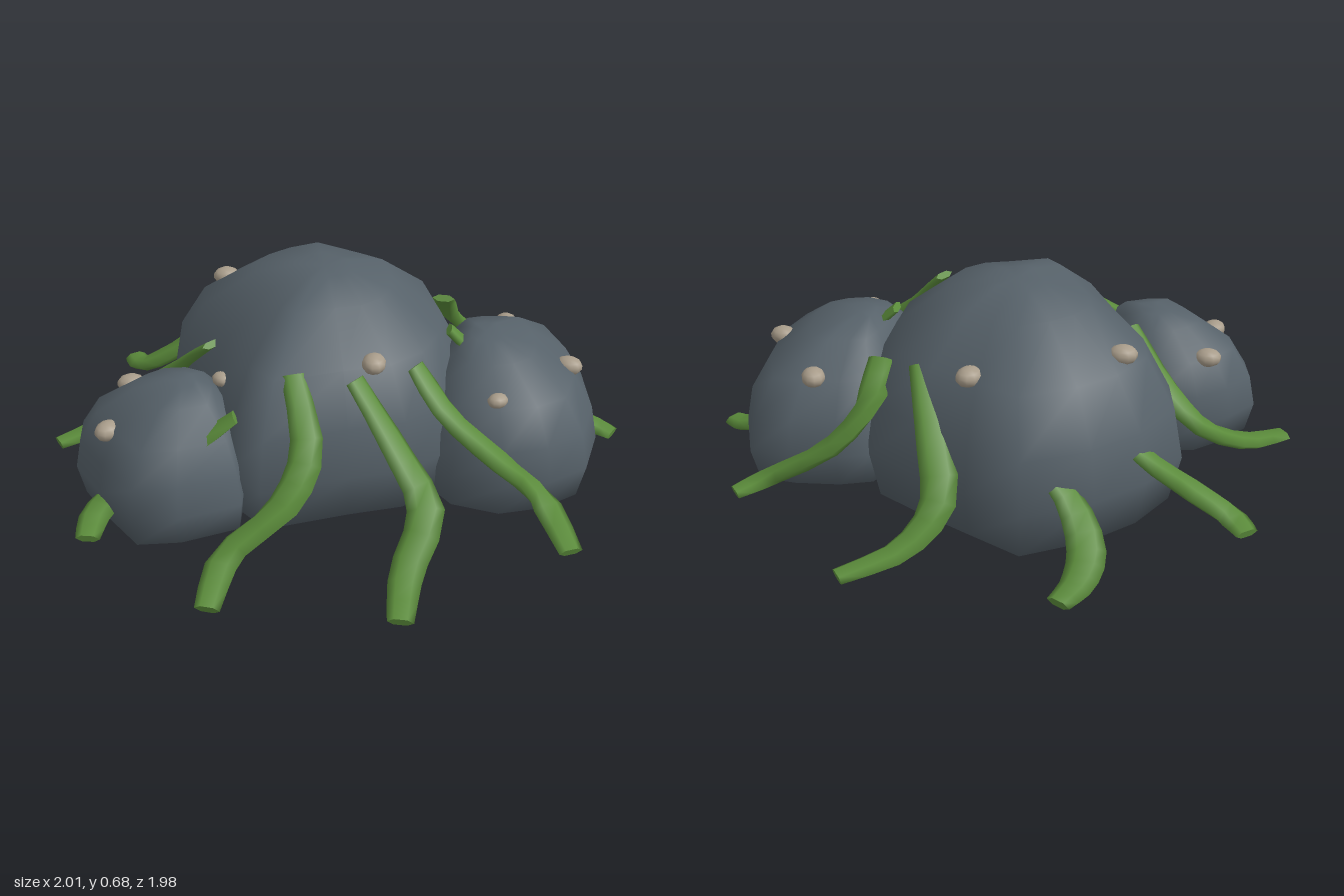
import * as THREE from 'three';

const stone = new THREE.MeshStandardMaterial({ name: 'slate stone', color: 0x566169 });
const weed = new THREE.MeshStandardMaterial({ name: 'weed green', color: 0x5a8a3a });
const shell = new THREE.MeshStandardMaterial({ name: 'shell beige', color: 0xa89c8a });

// Skin a list of equal rings and close both ends; rounded ends share normals with the sides.
function skin(rings, rounded) {
  const n = rings[0].length, pos = [], index = [];
  const add = p => pos.push(p.x, p.y, p.z) / 3 - 1;
  rings.forEach(r => r.forEach(add));
  for (let i = 0; i < rings.length - 1; i++)
    for (let j = 0; j < n; j++) {
      const a = i * n + j, b = i * n + (j + 1) % n;
      index.push(a, a + n, b, b, a + n, b + n);
    }
  const cap = (i, flip) => {
    const mid = new THREE.Vector3();
    rings[i].forEach(p => mid.addScaledVector(p, 1 / n));
    const ids = rings[i].map((p, j) => rounded ? i * n + j : add(p));
    const c = add(mid);
    for (let j = 0; j < n; j++) {
      const a = ids[j], b = ids[(j + 1) % n];
      index.push(c, flip ? b : a, flip ? a : b);
    }
  };
  cap(0, false);
  cap(rings.length - 1, true);
  const g = new THREE.BufferGeometry();
  g.setAttribute('position', new THREE.Float32BufferAttribute(pos, 3));
  g.setIndex(index);
  g.computeVertexNormals();
  return g;
}

// Dome profile: share of height, share of outline
const profile = [[0, 0.6], [0, 0.94], [0.25, 1], [0.5, 0.94], [0.74, 0.77], [0.94, 0.44], [1, 0.17]];

function boulder(name, [cx, cz], height, outline) {
  const rings = profile.map(([h, s]) => outline.map(([x, z]) =>
    new THREE.Vector3(cx + (x - cx) * s, h * height, cz + (z - cz) * s)));
  const mesh = new THREE.Mesh(skin(rings, true), stone);
  mesh.name = name;
  return mesh;
}

// Flat strand along a path of [x, z, height], wide sideways and thin upwards
function strand(points) {
  const path = new THREE.CatmullRomCurve3(points.map(([x, z, y]) => new THREE.Vector3(x, y, z)));
  const steps = 10, sides = 6, up = new THREE.Vector3(0, 1, 0), rings = [];
  for (let i = 0; i <= steps; i++) {
    const t = i / steps, c = path.getPoint(t), T = path.getTangent(t);
    const W = T.clone().cross(up).normalize(), N = W.clone().cross(T);
    const half = 0.04 + 0.02 * Math.sin(Math.PI * t), thick = 0.014 + 0.014 * Math.sin(Math.PI * t);
    rings.push(Array.from({ length: sides }, (_, j) => {
      const a = j / sides * Math.PI * 2;
      return c.clone().addScaledVector(W, half * Math.cos(a)).addScaledVector(N, thick * Math.sin(a));
    }));
  }
  const mesh = new THREE.Mesh(skin(rings, false), weed);
  mesh.name = 'weedStrand';
  return mesh;
}

export function createModel() {
  const model = new THREE.Group();
  model.name = 'weedyBoulders';

  // Boulders
  const boulders = new THREE.Group();
  boulders.name = 'boulders';
  boulders.add(
    boulder('mainBoulder', [-0.04, -0.09], 0.68, [
      [0.48, -0.05], [0.44, 0.15], [0.35, 0.3], [0.2, 0.4], [0, 0.43], [-0.29, 0.49], [-0.39, 0.36],
      [-0.47, 0.1], [-0.58, -0.21], [-0.58, -0.38], [-0.45, -0.53], [-0.28, -0.64], [-0.05, -0.72],
      [0.12, -0.6], [0.3, -0.47], [0.44, -0.36]]),
    boulder('leftBoulder', [0.48, 0.06], 0.485, [
      [0.9, -0.05], [0.88, 0.19], [0.8, 0.37], [0.66, 0.44], [0.5, 0.46], [0.34, 0.39], [0.26, 0.25],
      [0.28, 0.05], [0.36, -0.15], [0.44, -0.29], [0.56, -0.31], [0.72, -0.3], [0.85, -0.27]]),
    boulder('rightBoulder', [-0.52, 0.2], 0.43, [
      [-0.32, 0.2], [-0.35, 0.46], [-0.55, 0.52], [-0.7, 0.52], [-0.81, 0.36], [-0.9, 0.2],
      [-0.9, 0.08], [-0.8, -0.01], [-0.68, -0.08], [-0.52, -0.08], [-0.38, 0]]));
  model.add(boulders);

  // Weed strands, from the boulder down to the ground
  const strands = new THREE.Group();
  strands.name = 'weedStrands';
  [
    [[-0.17, 0.33, 0.51], [-0.14, 0.48, 0.31], [-0.22, 0.6, 0.2], [-0.4, 0.69, 0.09], [-0.46, 0.88, 0.05]],
    [[0.02, 0.38, 0.51], [0.14, 0.5, 0.32], [0.22, 0.63, 0.18], [0.14, 0.8, 0.08], [0.1, 0.98, 0.05]],
    [[0.22, 0.31, 0.51], [0.32, 0.4, 0.37], [0.48, 0.46, 0.23], [0.62, 0.49, 0.1], [0.67, 0.71, 0.05]],
    [[0.37, 0.06, 0.5], [0.6, 0.1, 0.28], [0.8, 0.02, 0.12], [0.92, 0.02, 0.06], [0.98, 0.07, 0.05]],
    [[0.4, -0.24, 0.46], [0.43, -0.35, 0.36], [0.55, -0.39, 0.22], [0.78, -0.35, 0.07], [0.88, -0.41, 0.05]],
    [[0.26, -0.34, 0.49], [0.22, -0.5, 0.33], [0.2, -0.64, 0.17], [0.3, -0.75, 0.08], [0.49, -0.85, 0.05]],
    [[-0.1, -0.58, 0.3], [-0.21, -0.68, 0.19], [-0.25, -0.79, 0.1], [-0.22, -0.89, 0.06], [-0.16, -0.97, 0.05]],
    [[-0.32, -0.44, 0.35], [-0.45, -0.5, 0.24], [-0.6, -0.51, 0.13], [-0.72, -0.55, 0.06], [-0.76, -0.63, 0.05]],
    [[-0.43, 0.01, 0.45], [-0.53, -0.12, 0.31], [-0.66, -0.19, 0.18], [-0.84, -0.11, 0.07], [-0.99, -0.03, 0.05]],
    [[-0.36, 0.36, 0.38], [-0.55, 0.38, 0.25], [-0.74, 0.33, 0.1], [-0.82, 0.4, 0.06], [-0.84, 0.52, 0.05]],
  ].forEach(p => strands.add(strand(p)));
  model.add(strands);

  // Small shells seated on the surface of the boulders
  const shells = new THREE.Group();
  shells.name = 'shells';
  const ray = new THREE.Raycaster(), down = new THREE.Vector3(0, -1, 0);
  const shellShape = new THREE.SphereGeometry(1, 10, 7);
  boulders.updateMatrixWorld(true);
  [[-0.375, -0.345], [0.105, -0.455], [0.63, -0.205], [0.78, 0.11], [0.49, 0.335],
    [0.09, 0.285], [-0.4, 0.145], [-0.71, 0.03], [-0.77, 0.29]].forEach(([x, z], i) => {
    ray.set(new THREE.Vector3(x, 2, z), down);
    const m = new THREE.Mesh(shellShape, shell);
    m.name = 'shell';
    m.position.copy(ray.intersectObjects(boulders.children)[0].point);
    m.scale.set(0.048, 0.032, 0.04).multiplyScalar(i === 4 || i === 6 ? 0.75 : 1);
    m.rotation.y = i * 0.9;
    shells.add(m);
  });
  model.add(shells);
  return model;
}
